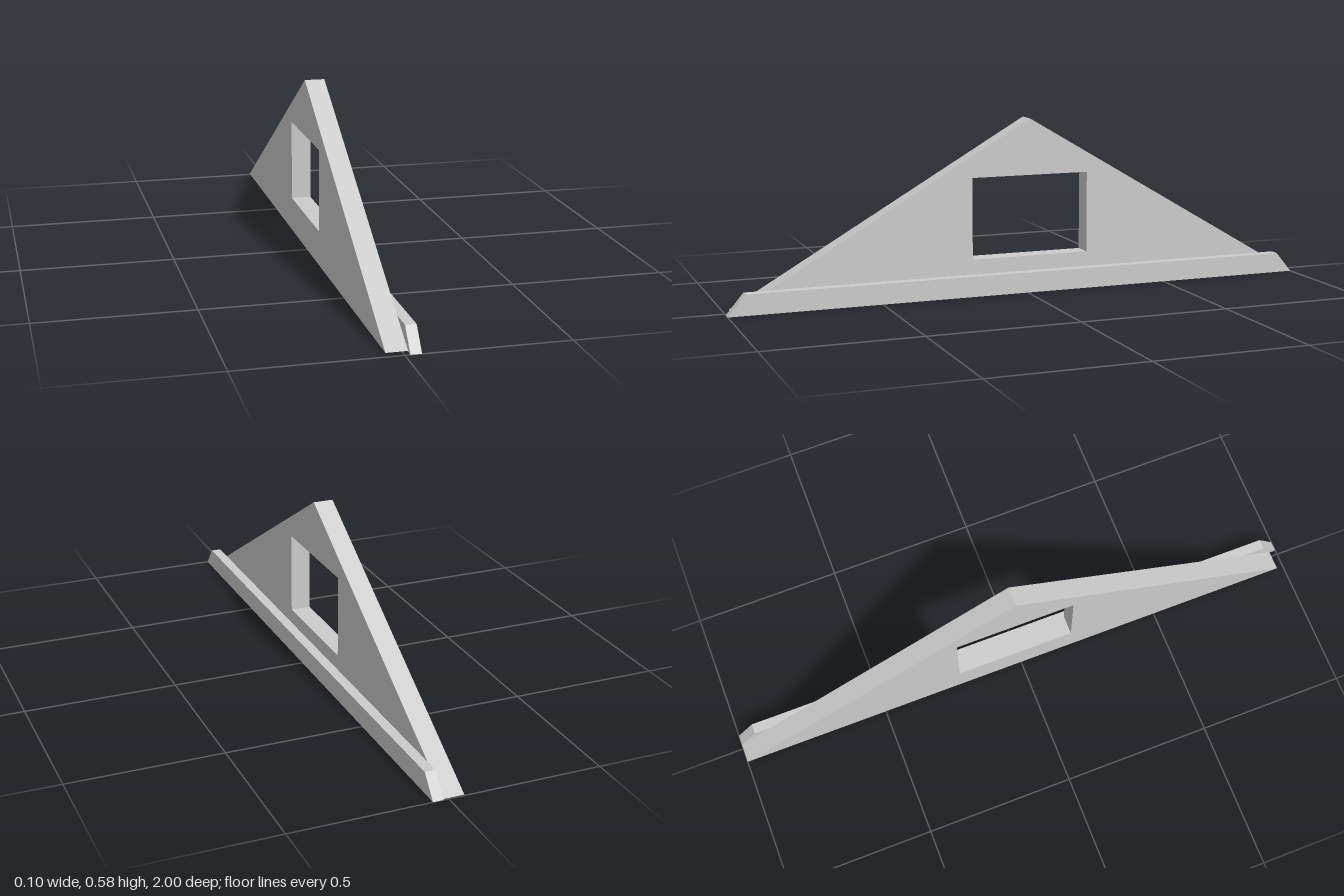
import * as THREE from 'three';

const material = new THREE.MeshStandardMaterial({ color: 0xcccccc, flatShading: true });

// Extrudes a side profile of [z, y] points across x from x0 to x1
function slab(name, profile, x0, x1, hole) {
  const toPoints = (list) => list.map(([z, y]) => new THREE.Vector2(-z, y));
  const shape = new THREE.Shape(toPoints(profile));
  if (hole) shape.holes.push(new THREE.Path(toPoints(hole)));
  const geometry = new THREE.ExtrudeGeometry(shape, { depth: x1 - x0, bevelEnabled: false });
  geometry.rotateY(Math.PI / 2).translate(x0, 0, 0);
  const mesh = new THREE.Mesh(geometry, material);
  mesh.name = name;
  return mesh;
}

export function createModel() {
  const group = new THREE.Group();
  group.name = 'gable';

  // Triangular wall with a rectangular window opening
  group.add(slab('gableWall',
    [[0.977, 0.003], [-1, 0.003], [-0.02, 0.578]],
    -0.05, 0.016,
    [[0.182, 0.118], [0.182, 0.39], [-0.225, 0.39], [-0.225, 0.118]]));

  // Base rail with slanted ends, along the foot of the wall
  group.add(slab('baseRail',
    [[1, 0], [-1, 0], [-0.943, 0.068], [0.943, 0.068]],
    0.016, 0.05));

  return group;
}
